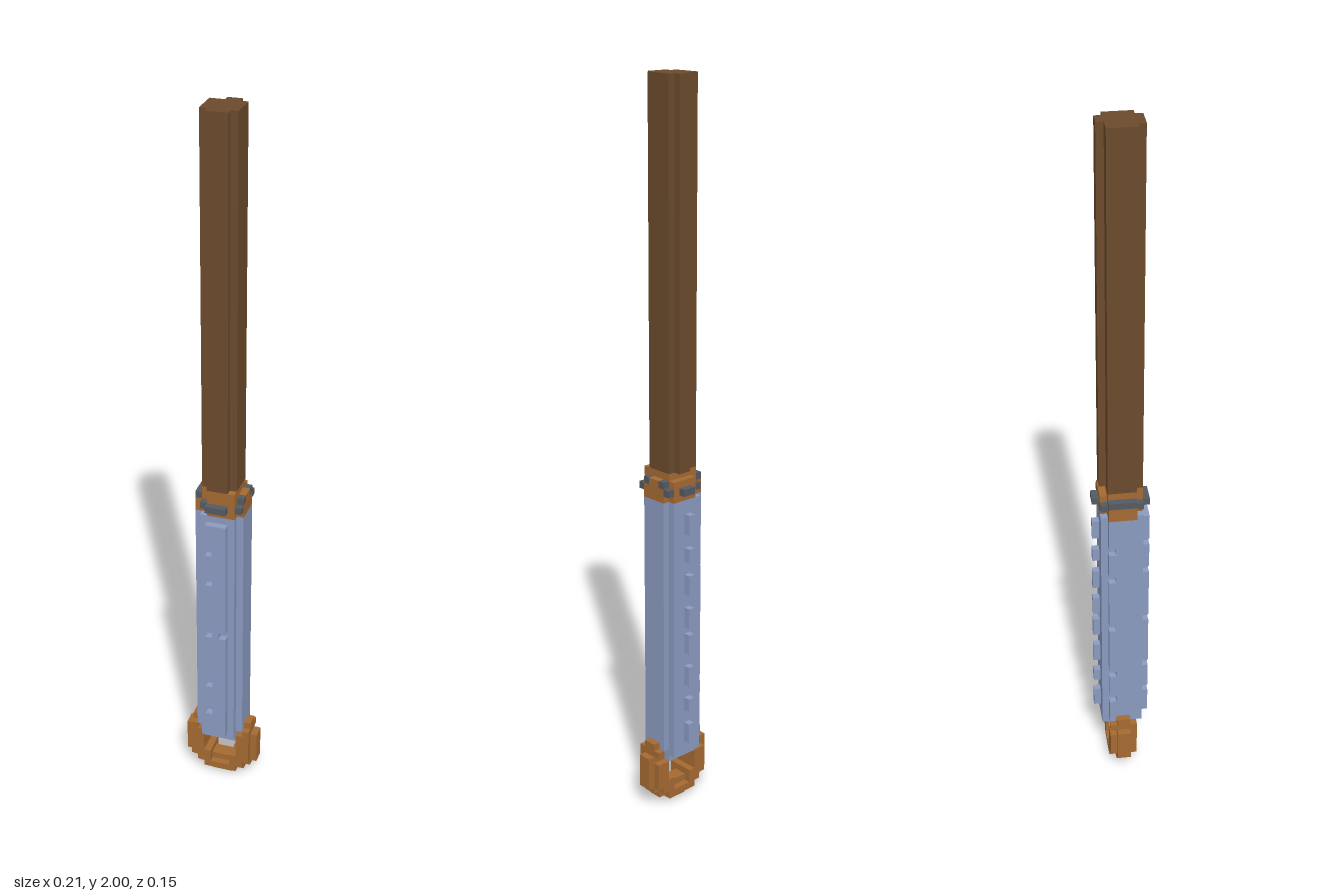
import * as THREE from 'three';
import { mergeGeometries } from 'three/addons/utils/BufferGeometryUtils.js';

const V = 2 / 104; // edge of one cube

// Box from its limits in cubes: x0, x1, y0, y1, z0, z1
function block([x0, x1, y0, y1, z0, z1]) {
  return new THREE.BoxGeometry((x1 - x0) * V, (y1 - y0) * V, (z1 - z0) * V)
    .translate((x0 + x1) / 2 * V, (y0 + y1) / 2 * V, (z0 + z1) / 2 * V);
}
const mirrorX = ([x0, x1, ...rest]) => [-x1, -x0, ...rest];
const both = (list) => list.flatMap((b) => [b, mirrorX(b)]);

// Column of blocks from y0 to y1 with one-cube gaps at the given rows
function notched(x0, x1, y0, y1, z0, z1, gaps) {
  const out = [];
  let y = y0;
  for (const g of [...gaps, y1]) {
    out.push([x0, x1, y, g, z0, z1]);
    y = g + 1;
  }
  return out;
}

export function createModel() {
  const model = new THREE.Group();
  const mat = (name, color) => {
    const m = new THREE.MeshStandardMaterial({ color, flatShading: true });
    m.name = name;
    return m;
  };
  const brown = mat('darkBrown', 0x6b4a2c);
  const blue = mat('steelBlue', 0x8a9abf);
  const copper = mat('copper', 0xa56a32);
  const grey = mat('darkGrey', 0x555a62);

  const part = (name, material, blocks) => {
    const mesh = new THREE.Mesh(mergeGeometries(blocks.map(block)), material);
    mesh.name = name;
    model.add(mesh);
  };

  // Long upper shaft with a front rib and a narrow back rib
  part('shaft', brown, [
    [-2.5, 2.5, 51, 104, -2, 2],
    [-1.5, 1.5, 51, 104, 2, 3],
    [-0.5, 1.5, 51, 104, -3, -2],
  ]);

  // Collar between shaft and grip
  part('collar', copper, [
    [-2.5, 2.5, 47, 51, -2, 2],
    [-1.5, 2.5, 47, 51, 2, 3],
    [-1.5, 2.5, 47, 50, -3, -2],
    ...both([[2.5, 3.5, 47, 49, -2, 2]]),
    [2.5, 3.5, 49, 50, -1, 1],
  ]);

  // Thin stepped ring around the collar
  part('guardRing', grey, [
    [-1.5, 1.5, 48, 49, 3, 4],
    [-0.5, 1.5, 48, 49, -4, -3],
    [-2.5, -1.5, 48, 49, 2, 3],
    [-2.5, -1.5, 48, 49, -3, -2],
    [2.5, 3.5, 48, 49, 2, 3],
    [2.5, 3.5, 48, 49, -3, -2],
    [-3.5, -2.5, 49, 50, -2, 2],
    [2.5, 3.5, 49, 50, 1, 2],
    [2.5, 3.5, 49, 50, -2, -1],
  ]);

  // Grip core, its notched left and plain right flank
  const gaps = [13, 18, 27, 36, 41];
  part('grip', blue, [
    [-2.5, 2.5, 8, 47, -3, 3],
    [-2.5, 2.5, 7, 8, -2, 2],
    [2.5, 3.5, 9, 47, -2, 2],
    [-3.5, -2.5, 9, 47, -1, 2],
    ...notched(-3.5, -2.5, 9, 47, -2, -1, gaps),
  ]);

  // Raised front panel
  part('frontPanel', blue, [
    [-0.5, 0.5, 9, 46, 3, 4],
    ...notched(-1.5, -0.5, 9, 46, 3, 4, gaps),
    ...notched(0.5, 1.5, 9, 46, 3, 4, [27]),
  ]);

  // Row of studs down the back
  const studs = [[10, 13], [15, 17], [19, 22], [24, 27], [28, 31], [33, 36], [38, 40], [42, 45]];
  part('backStuds', blue, studs.map(([a, b]) => [-0.5, 0.5, a, b, -4, -3]));

  // Stepped ring at the foot
  part('pommelRing', copper, [
    [-1.5, 1.5, 0, 1, -1, 1],
    [-2.5, 2.5, 1, 2, -2, 2],
    [-1.5, 1.5, 2, 3, -1, 1],
    ...both([
      [2.5, 3.5, 1, 2, -1, 1],
      [1.5, 3.5, 2, 4, -2, 2],
      [3.5, 4.5, 2, 3, -1, 1],
      [2.5, 4.5, 3, 7, -2, 2],
      [2.5, 4.5, 7, 8, -1, 2],
      [3.5, 4.5, 8, 9, -2, 2],
      [3.5, 4.5, 9, 10, -1, 1],
      [4.5, 5.5, 3, 8, -1, 1],
    ]),
  ]);

  return model;
}
